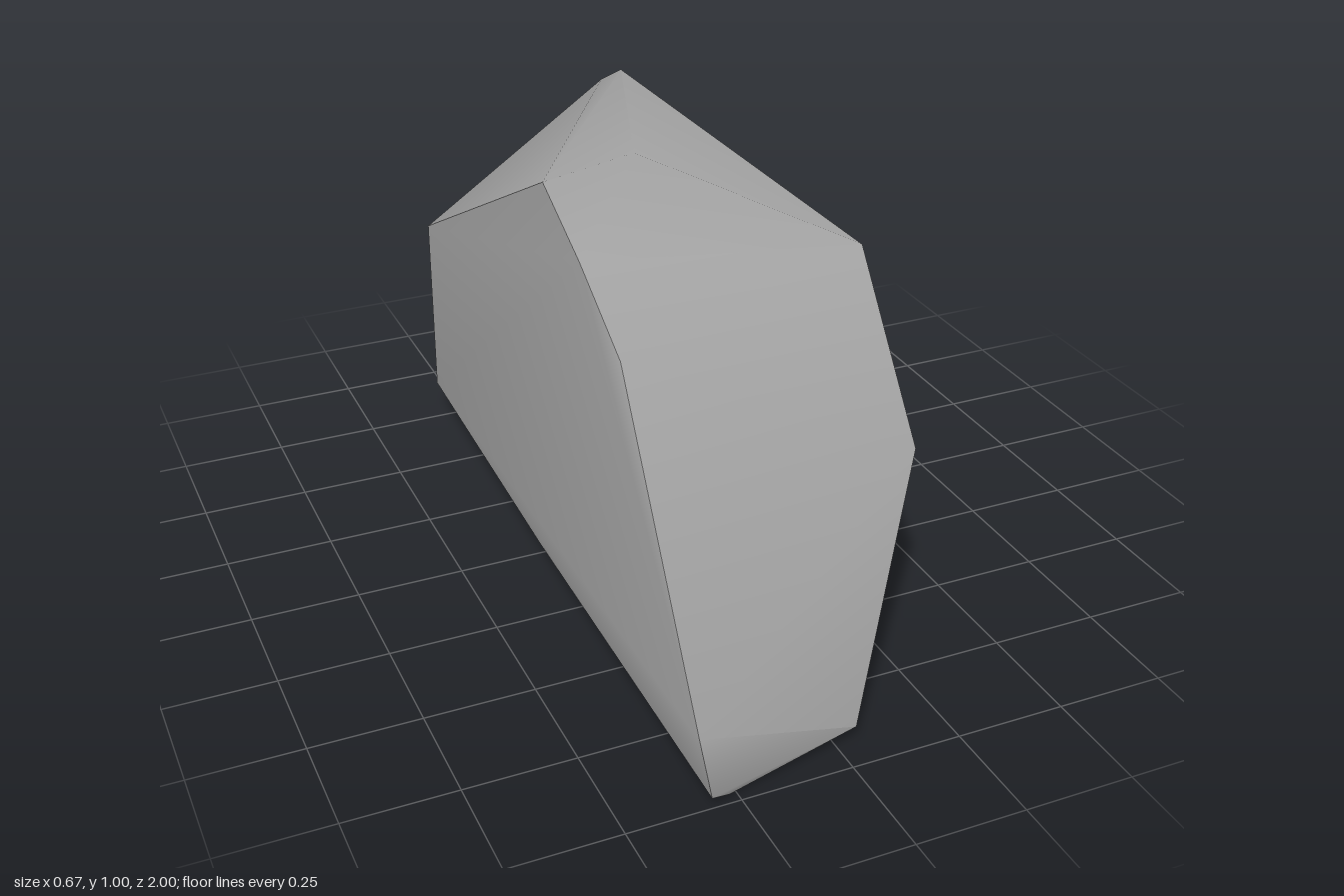
import * as THREE from 'three';
import { ConvexGeometry } from 'three/addons/geometries/ConvexGeometry.js';
import { toCreasedNormals } from 'three/addons/utils/BufferGeometryUtils.js';

export function createModel() {
  const group = new THREE.Group();
  group.name = 'rock';
  const stone = new THREE.MeshStandardMaterial({ color: 0xa3a3a3 });
  stone.name = 'stone grey';

  // Corners of the boulder, grouped by the side they bound
  const corners = [
    // left side outline (+x)
    [0.33, 0.84, 0.36], [0.305, 0.5, 0.67], [0.05, 0.03, 0.92],
    [0.27, 0.08, 0.47], [0.262, 0.085, -0.985], [0.312, 0.79, -1], [0.305, 0.84, -0.94],
    // crest
    [-0.07, 1, 0.04], [-0.31, 0.995, 0.11], [0.24, 0.828, -0.92],
    // right side outline (-x)
    [-0.33, 0.92, 0.37], [-0.312, 0.77, 0.54], [-0.335, 0.16, 0.98],
    [-0.315, 0.025, 1], [-0.265, 0, 0.975],
    [-0.305, 0.032, 0], [-0.31, 0.09, -0.77], [-0.31, 0.55, -0.77],
  ].map((p) => new THREE.Vector3(...p));

  // Rounded shading over shallow bends, sharp edges elsewhere
  const geometry = toCreasedNormals(new ConvexGeometry(corners), THREE.MathUtils.degToRad(40));
  const boulder = new THREE.Mesh(geometry, stone);
  boulder.name = 'boulder';
  group.add(boulder);
  return group;
}
